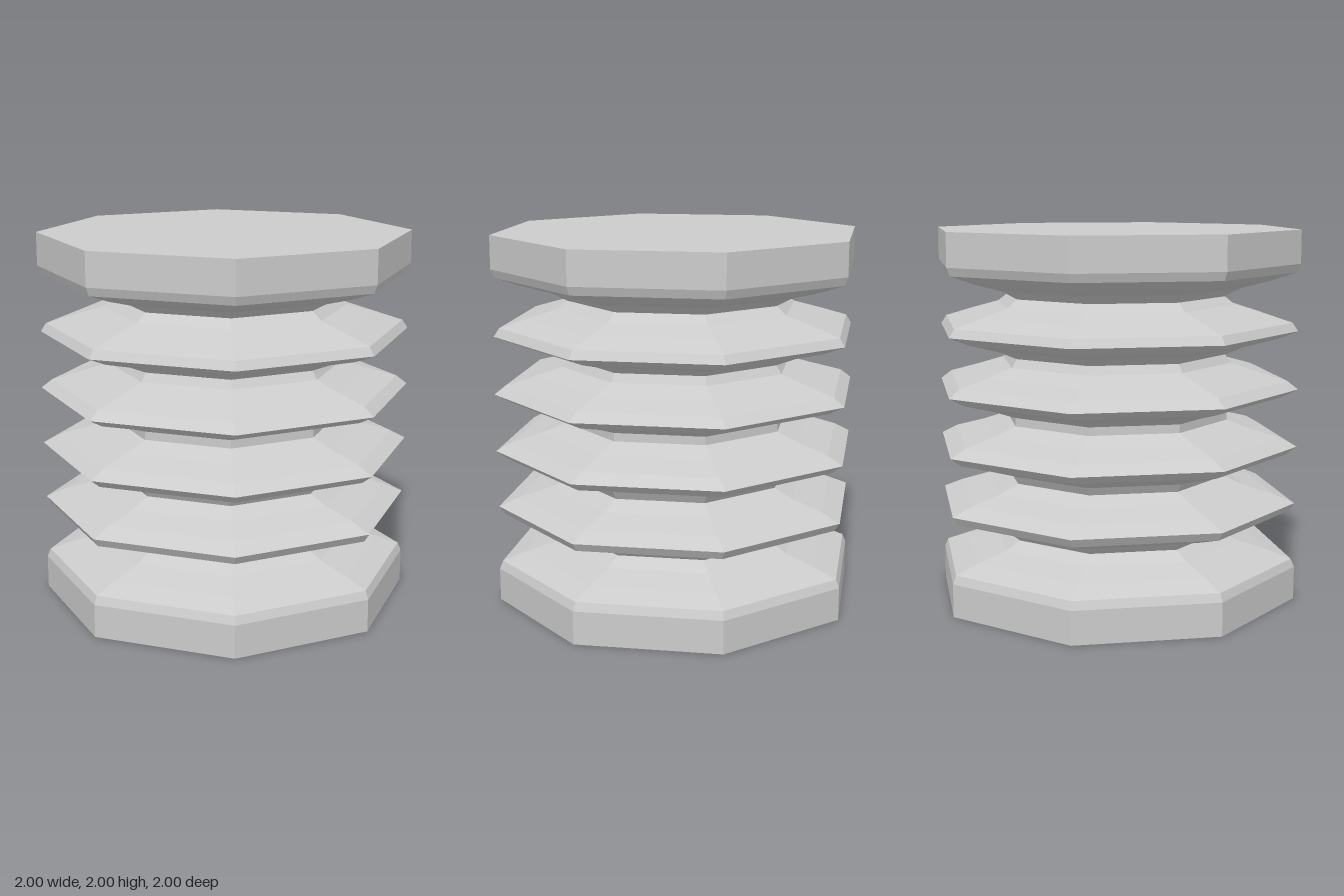
import * as THREE from 'three';

const SIDES = 8, ROWS = 45, HEIGHT = 2;
const FOLD_START = 0.2, FOLD_END = 1.8, FOLDS = 5;

// Solid end blocks at full radius, with a cosine wave of folds between them
function radiusAt(y) {
  if (y <= FOLD_START || y >= FOLD_END) return 1;
  const t = (y - FOLD_START) / (FOLD_END - FOLD_START);
  return 0.8 + 0.2 * Math.cos(t * FOLDS * Math.PI * 2);
}

export function createModel() {
  const group = new THREE.Group();
  group.name = 'bellowsColumn';

  // Closed profile from the bottom centre up to the top centre
  const profile = [new THREE.Vector2(0, 0)];
  for (let i = 0; i <= ROWS; i++) {
    const y = (i / ROWS) * HEIGHT;
    profile.push(new THREE.Vector2(radiusAt(y), y));
  }
  profile.push(new THREE.Vector2(0, HEIGHT));

  // Octagonal pleated body with its flat end caps
  const body = new THREE.Mesh(
    new THREE.LatheGeometry(profile, SIDES),
    new THREE.MeshStandardMaterial({ color: 0xcccccc, flatShading: true })
  );
  body.name = 'pleatedBody';
  group.add(body);
  return group;
}
